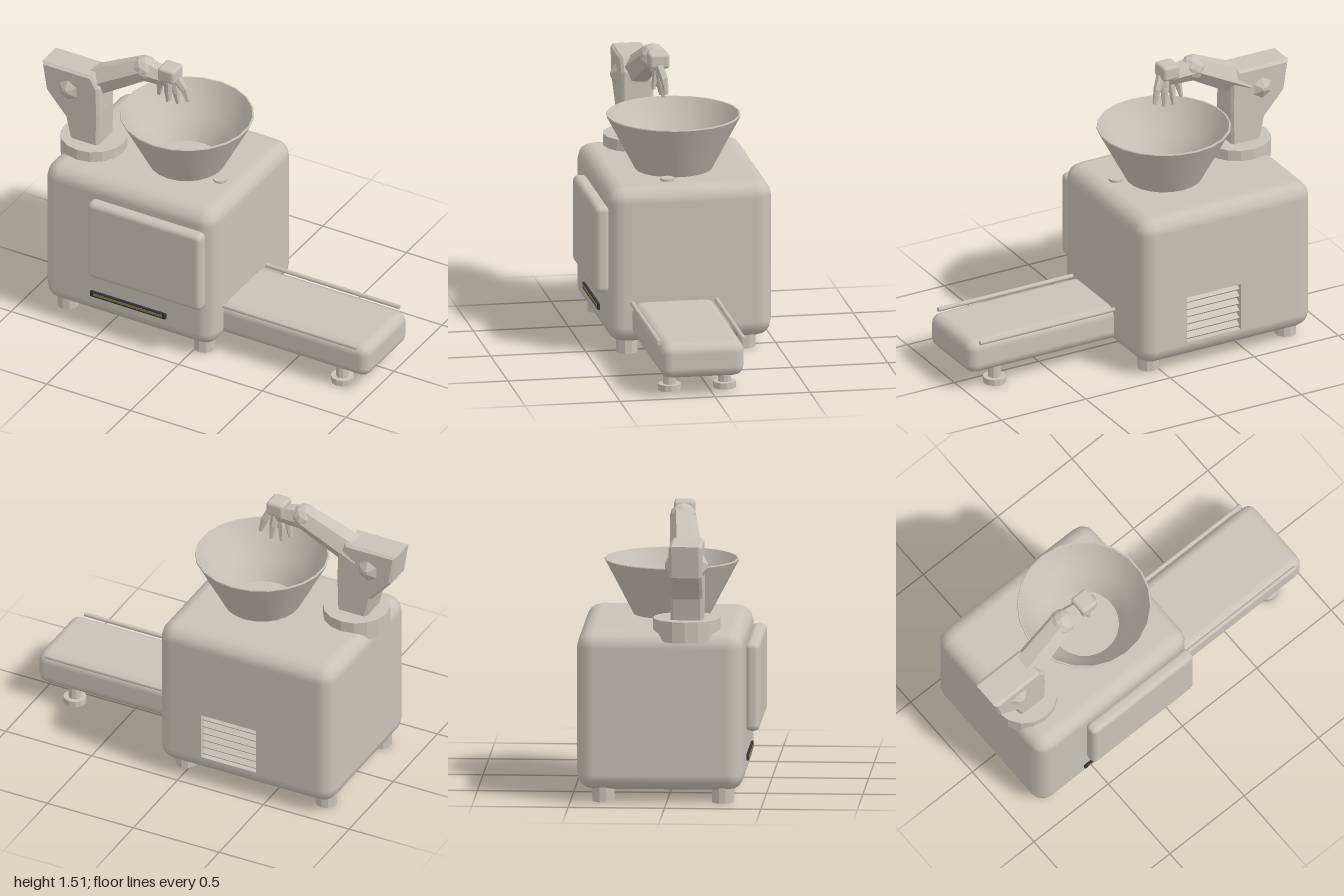
import * as THREE from 'three';
import { toCreasedNormals } from 'three/addons/utils/BufferGeometryUtils.js';
import { RoundedBoxGeometry } from 'three/addons/geometries/RoundedBoxGeometry.js';

const material = (name, color) => Object.assign(new THREE.MeshStandardMaterial({ color }), { name });
const shell = material('warm grey shell', 0xc8c3b9);
const dark = material('dark slot frame', 0x2f3440);
const gold = material('gold strip', 0x94783f);

// Hard-edged copy of a geometry
function flat(geometry) {
  const g = geometry.index ? geometry.toNonIndexed() : geometry;
  g.computeVertexNormals();
  return g;
}

export function createModel() {
  const model = new THREE.Group();

  function add(name, geometry, x = 0, y = 0, z = 0, mat = shell, parent = model) {
    const mesh = new THREE.Mesh(geometry, mat);
    mesh.name = name;
    mesh.position.set(x, y, z);
    parent.add(mesh);
    return mesh;
  }
  const rounded = (w, h, d, r) => new RoundedBoxGeometry(w, h, d, 2, r);
  const cylinder = (r, h, sides) => flat(new THREE.CylinderGeometry(r, r, h, sides));

  // Tapered many-sided bar between two points
  function beam(name, a, b, ra, rb, sides, parent) {
    const start = new THREE.Vector3(...a), end = new THREE.Vector3(...b);
    const dir = end.clone().sub(start);
    const mesh = add(name, flat(new THREE.CylinderGeometry(rb, ra, dir.length(), sides)), 0, 0, 0, shell, parent);
    mesh.position.copy(start).add(end).multiplyScalar(0.5);
    mesh.quaternion.setFromUnitVectors(new THREE.Vector3(0, 1, 0), dir.normalize());
    return mesh;
  }

  // Housing, with the flat part of its back left open for the vent
  const W = 1.017, H = 0.835, D = 0.865, R = 0.085;
  const housing = new THREE.Group();
  housing.name = 'housing';
  housing.position.set(-0.3665, 0.4825, -0.0325);
  model.add(housing);
  const box = rounded(W, H, D, R);
  const p = box.attributes.position, n = box.attributes.normal;
  const kept = [];
  for (let i = 0; i < p.count; i += 3) {
    const onBack = [0, 1, 2].every(k => p.getZ(i + k) < -D / 2 + 1e-4);
    if (!onBack) kept.push(i, i + 1, i + 2);
  }
  const open = new THREE.BufferGeometry();
  open.setAttribute('position', p);
  open.setAttribute('normal', n);
  open.setIndex(kept);
  add('housingShell', open, 0, 0, 0, shell, housing);

  // Back panel with a rectangular opening
  const rect = (path, x, y, hw, hh) => path.moveTo(x - hw, y - hh).lineTo(x + hw, y - hh)
    .lineTo(x + hw, y + hh).lineTo(x - hw, y + hh).lineTo(x - hw, y - hh);
  const vx = 0.0865, vy = -0.1925, vw = 0.16, vh = 0.13, depth = 0.06;
  const panel = new THREE.Shape(), hole = new THREE.Path();
  rect(panel, 0, 0, W / 2 - R, H / 2 - R);
  rect(hole, -vx, vy, vw, vh);
  panel.holes.push(hole);
  add('backPanel', new THREE.ShapeGeometry(panel).rotateY(Math.PI), 0, 0, -D / 2, shell, housing);

  // Recess and louvres
  const zMid = -D / 2 + depth / 2;
  for (const s of [-1, 1]) {
    add('ventSide', new THREE.BoxGeometry(0.01, vh * 2, depth), vx + s * (vw + 0.005), vy, zMid, shell, housing);
    add('ventEdge', new THREE.BoxGeometry(vw * 2, 0.01, depth), vx, vy + s * (vh + 0.005), zMid, shell, housing);
  }
  add('ventBack', new THREE.BoxGeometry(vw * 2, vh * 2, 0.01), vx, vy, -D / 2 + depth, shell, housing);
  for (let i = 0; i < 6; i++) {
    const slat = add('ventSlat', new THREE.BoxGeometry(vw * 2, 0.01, 0.045),
      vx, vy - vh + 0.025 + i * 0.042, -D / 2 + 0.036, shell, housing);
    slat.rotation.x = -0.6;
  }

  // Feet under the housing
  for (const x of [-0.78, 0.035])
    for (const z of [0.29, -0.33]) add('foot', cylinder(0.057, 0.09, 10), x, 0.045, z);

  // Front door and slot
  add('door', rounded(0.68, 0.465, 0.075, 0.03), -0.23, 0.567, 0.43);
  add('slotFrame', new THREE.BoxGeometry(0.45, 0.032, 0.014), -0.355, 0.2, 0.405, dark);
  add('slotStrip', new THREE.BoxGeometry(0.41, 0.013, 0.005), -0.355, 0.2, 0.412, gold);

  // Conveyor with side rails and levelling feet
  add('conveyor', rounded(0.92, 0.188, 0.44, 0.055), 0.54, 0.194, 0.06);
  for (const z of [0.28, -0.163])
    add('conveyorRail', new THREE.CylinderGeometry(0.012, 0.012, 0.84, 10).rotateZ(Math.PI / 2), 0.52, 0.285, z);
  for (const z of [0.205, -0.085]) {
    add('conveyorLeg', cylinder(0.034, 0.1, 10), 0.81, 0.075, z);
    add('conveyorFoot', cylinder(0.06, 0.033, 12), 0.81, 0.0165, z);
  }

  // Hopper bowl: outside wall up, rim, inside wall down
  const profile = [[0.195, 0.89], [0.35, 1.185], [0.348, 1.19], [0.34, 1.19],
    [0.29, 1.09], [0.245, 1.02], [0.205, 0.96], [0.177, 0.895]].map(q => new THREE.Vector2(...q));
  add('bowl', toCreasedNormals(new THREE.LatheGeometry(profile, 22), 0.55), -0.24, 0, -0.006);
  add('button', cylinder(0.038, 0.02, 14), 0.003, 0.903, 0.07);

  // Robot arm
  const arm = new THREE.Group();
  arm.name = 'arm';
  model.add(arm);
  add('armBase', cylinder(0.175, 0.11, 16), -0.735, 0.905, 0.1, shell, arm);
  const outline = [[-0.815, 0.95], [-0.675, 0.95], [-0.67, 1.15], [-0.675, 1.3], [-0.71, 1.36],
    [-0.985, 1.36], [-0.96, 1.21], [-0.845, 1.08]].map(q => new THREE.Vector2(...q));
  add('shoulder', flat(new THREE.ExtrudeGeometry(new THREE.Shape(outline), {
    depth: 0.14, bevelEnabled: true, bevelSize: 0.013, bevelThickness: 0.015, bevelSegments: 1,
  })), 0, 0, 0.035, shell, arm);
  for (const s of [-1, 1])
    beam('shoulderCap', [-0.84, 1.25, 0.105 + s * 0.08], [-0.84, 1.25, 0.105 + s * 0.112], 0.068, 0.012, 6, arm);
  beam('upperArm', [-0.76, 1.28, 0.1], [-0.45, 1.445, 0.065], 0.085, 0.068, 6, arm);
  add('elbow', flat(new THREE.IcosahedronGeometry(0.07, 1)), -0.45, 1.443, 0.065, shell, arm);
  beam('forearm', [-0.45, 1.44, 0.065], [-0.3, 1.425, 0.063], 0.066, 0.045, 6, arm);
  add('wrist', rounded(0.1, 0.082, 0.108, 0.018), -0.3, 1.465, 0.063, shell, arm);

  // Fingers fanned out, bent once at the knuckle
  const fingers = [[-0.335, -0.36, -0.375, 1.3], [-0.312, -0.322, -0.325, 1.27],
    [-0.285, -0.276, -0.268, 1.27], [-0.262, -0.23, -0.21, 1.3]];
  fingers.forEach(([x0, x1, x2, y], i) => {
    const z = 0.06 - i * 0.005;
    beam('fingerBase', [x0, 1.44, 0.065], [x1, y + 0.075, z], 0.024, 0.021, 6, arm);
    beam('fingerTip', [x1, y + 0.078, z], [x2, y, z - 0.01], 0.021, 0.01, 6, arm);
  });
  beam('thumb', [-0.3, 1.43, 0.075], [-0.29, 1.31, 0.09], 0.022, 0.01, 6, arm);

  return model;
}
